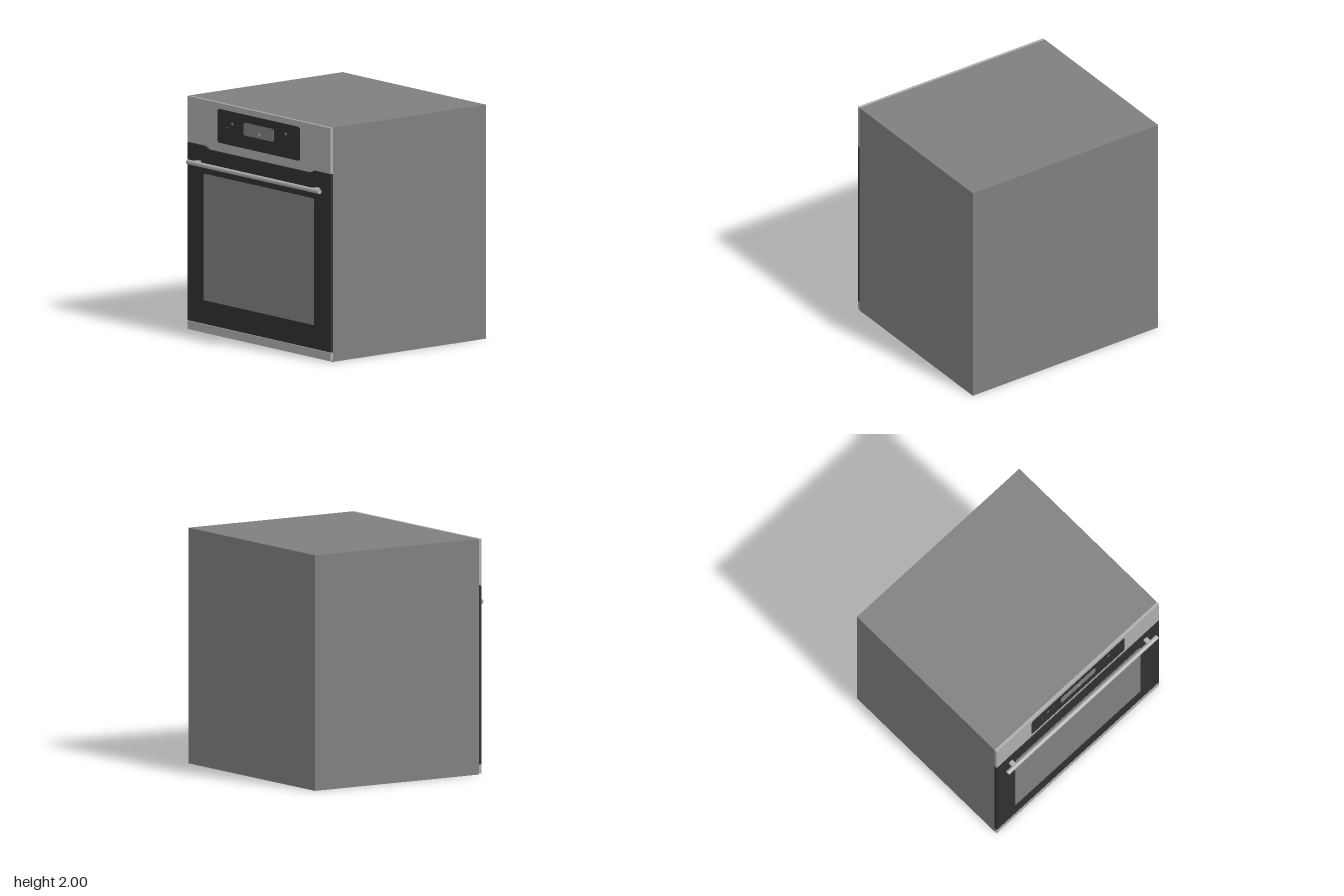
import * as THREE from 'three';

export function createModel() {
  const oven = new THREE.Group();
  oven.name = 'builtInOven';

  const material = (name, color) => {
    const m = new THREE.MeshStandardMaterial({ color });
    m.name = name;
    return m;
  };
  const casing = material('casingGrey', 0x7f7f7f);
  const steel = material('brushedSteel', 0xadadad);
  const black = material('blackGlass', 0x303030);

  const add = (name, geometry, mat, x = 0, y = 0, z = 0) => {
    const mesh = new THREE.Mesh(geometry, mat);
    mesh.name = name;
    mesh.position.set(x, y, z);
    oven.add(mesh);
    return mesh;
  };
  // Box given by its limits
  const box = (name, mat, x0, x1, y0, y1, z0, z1) =>
    add(name, new THREE.BoxGeometry(x1 - x0, y1 - y0, z1 - z0), mat,
      (x0 + x1) / 2, (y0 + y1) / 2, (z0 + z1) / 2);
  // Outline from a list of points, extruded from z0 to z1
  const outline = (points) => new THREE.Shape(points.map(([x, y]) => new THREE.Vector2(x, y)));
  const slab = (name, mat, shape, z0, z1) =>
    add(name, new THREE.ExtrudeGeometry(shape, { depth: z1 - z0, bevelEnabled: false, curveSegments: 6 }), mat, 0, 0, z0);
  // Rectangle with separate bottom and top corner radii
  const roundedRect = (x0, x1, y0, y1, rb, rt) => {
    const s = new THREE.Shape();
    s.moveTo(x0 + rb, y0);
    s.lineTo(x1 - rb, y0);
    if (rb) s.quadraticCurveTo(x1, y0, x1, y0 + rb);
    s.lineTo(x1, y1 - rt);
    s.quadraticCurveTo(x1, y1, x1 - rt, y1);
    s.lineTo(x0 + rt, y1);
    s.quadraticCurveTo(x0, y1, x0, y1 - rt);
    s.lineTo(x0, y0 + rb);
    if (rb) s.quadraticCurveTo(x0, y0, x0 + rb, y0);
    return s;
  };

  const back = 0.78;
  const front = 0.805;

  // Casing
  box('casing', casing, -0.95, 0.95, 0, 2, -0.88, back);

  // Steel fascia and bottom trim
  box('controlFascia', steel, -0.95, 0.95, 1.608, 2, back, front);
  box('bottomTrim', steel, -0.95, 0.95, 0.008, 0.08, back, front);

  // Door with a shallow grip notch in its top edge
  slab('door', black, outline([
    [-0.95, 0.083], [0.95, 0.083], [0.95, 1.604], [0.73, 1.604],
    [0.67, 1.58], [-0.67, 1.58], [-0.73, 1.604], [-0.95, 1.604],
  ]), back, front);
  slab('gripNotchLip', steel, outline([
    [-0.67, 1.58], [0.67, 1.58], [0.73, 1.608], [-0.73, 1.608],
  ]), back, back + 0.008);

  // Door window
  slab('doorWindow', casing, roundedRect(-0.733, 0.73, 0.285, 1.367, 0, 0.025), front, front + 0.002);

  // Control panel, its corner screws and the display
  box('controlPanel', black, -0.545, 0.545, 1.66, 1.95, front, front + 0.002);
  for (const x of [-0.541, 0.541])
    for (const y of [1.664, 1.946])
      box('panelCorner', steel, x - 0.006, x + 0.006, y - 0.006, y + 0.006, front, front + 0.003);
  slab('display', casing, roundedRect(-0.2, 0.2, 1.772, 1.882, 0.022, 0.022), front, front + 0.004);

  // Small touch marks
  const mark = (mat, x, y, r, z) => {
    const disc = add('touchMark', new THREE.CylinderGeometry(r, r, 0.002, 10), mat, x, y, front + z);
    disc.rotation.x = Math.PI / 2;
  };
  mark(casing, -0.35, 1.845, 0.014, 0.003);
  mark(casing, 0.36, 1.865, 0.014, 0.003);
  mark(casing, -0.42, 1.803, 0.006, 0.003);
  mark(casing, -0.283, 1.842, 0.005, 0.003);
  mark(steel, 0.01, 1.808, 0.014, 0.005);

  // Handle bar and its two posts
  const bar = add('handleBar', new THREE.CylinderGeometry(0.02, 0.02, 1.75, 24), steel, 0, 1.452, 0.86);
  bar.rotation.z = Math.PI / 2;
  for (const x of [-0.787, 0.787])
    box('handlePost', steel, x - 0.02, x + 0.02, 1.434, 1.47, front, 0.86);

  return oven;
}
